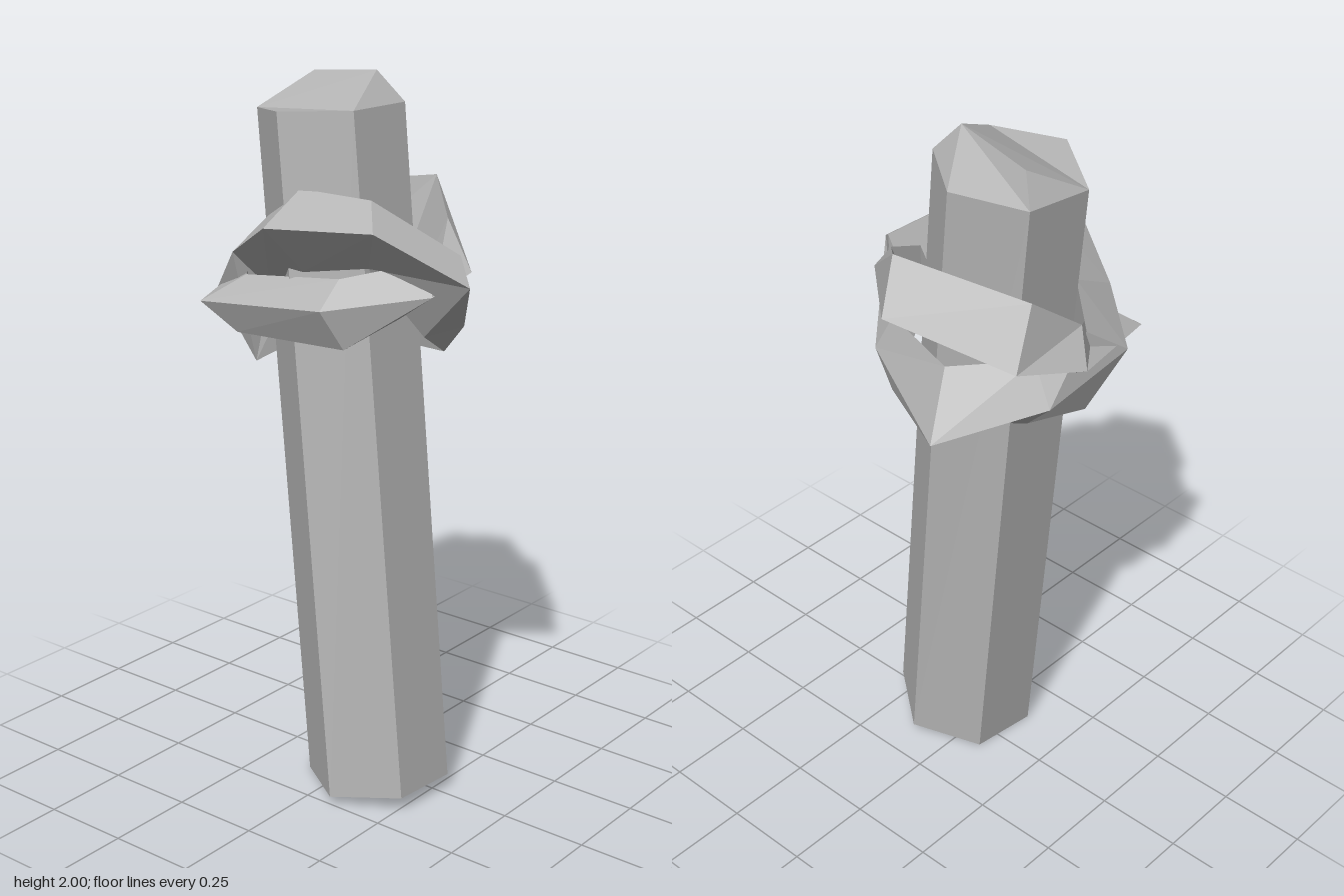
import * as THREE from 'three';

const grey = new THREE.MeshStandardMaterial({ color: 0xb4b4b4 });
grey.name = 'stone grey';

// Flat-shaded mesh from a list of polygons (corners counter-clockwise from outside)
function facetMesh(name, polygons) {
  const pos = [];
  for (const p of polygons) {
    for (let i = 1; i < p.length - 1; i++) pos.push(...p[0], ...p[i], ...p[i + 1]);
  }
  const geo = new THREE.BufferGeometry();
  geo.setAttribute('position', new THREE.Float32BufferAttribute(pos, 3));
  geo.computeVertexNormals();
  const mesh = new THREE.Mesh(geo, grey);
  mesh.name = name;
  return mesh;
}

// Leaning six-sided post with a chiselled top
function makePost() {
  const hex = [[-0.195, 0.07], [-0.01, 0.205], [0.175, 0.12], [0.19, -0.075], [0.02, -0.205], [-0.17, -0.12]];
  const bottom = hex.map(([x, z]) => [0.095 + x, 0.026 + 0.125 * x + 0.02 * z, 0.05 + z]);
  const rimY = [1.885, 1.91, 1.92, 1.92, 1.91, 1.89];
  const rim = hex.map(([x, z], i) => [-0.11 + x, rimY[i], z]);
  const ridgeL = [-0.235, 1.972, -0.085], ridgeR = [0.01, 2.0, -0.045];
  const faces = hex.map((_, i) => {
    const j = (i + 1) % 6;
    return [bottom[i], bottom[j], rim[j], rim[i]];
  });
  faces.push([...bottom].reverse());
  faces.push([rim[0], rim[1], rim[2], ridgeR, ridgeL]);
  faces.push([rim[2], rim[3], ridgeR]);
  faces.push([ridgeR, rim[3], rim[4], rim[5], ridgeL]);
  faces.push([rim[5], rim[0], ridgeL]);
  return facetMesh('post', faces);
}

// Closed band from three-cornered sections: outer, top and bottom corner
function makeBand(name, sections) {
  const faces = [];
  sections.forEach((a, s) => {
    const b = sections[(s + 1) % sections.length];
    for (let k = 0; k < 3; k++) {
      const m = (k + 1) % 3;
      faces.push([a[k], b[k], b[m], a[m]]);
    }
  });
  return facetMesh(name, faces);
}

export function createModel() {
  const model = new THREE.Group();
  model.name = 'wrappedPost';
  model.add(makePost());

  // Band riding high at the front and low at the back
  model.add(makeBand('frontHighBand', [
    [[-0.05, 1.64, 0.345], [-0.06, 1.715, 0.185], [-0.04, 1.5, 0.2]],
    [[0.21, 1.64, 0.225], [0.13, 1.7, 0.13], [0.12, 1.52, 0.13]],
    [[0.4, 1.5, 0.07], [0.32, 1.56, 0.0], [0.22, 1.33, 0.02]],
    [[0.22, 1.32, -0.16], [0.18, 1.42, -0.13], [0.14, 1.23, -0.18]],
    [[-0.155, 1.27, -0.345], [-0.1, 1.43, -0.23], [-0.08, 1.23, -0.19]],
    [[-0.34, 1.34, -0.1], [-0.27, 1.45, -0.08], [-0.24, 1.24, -0.07]],
    [[-0.36, 1.4, 0.185], [-0.33, 1.5, 0.05], [-0.27, 1.2, 0.13]],
    [[-0.25, 1.53, 0.24], [-0.25, 1.6, 0.1], [-0.2, 1.42, 0.15]],
  ]));

  // Band riding low at the front and high at the back
  model.add(makeBand('backHighBand', [
    [[-0.31, 1.4, 0.305], [-0.22, 1.47, 0.22], [-0.22, 1.32, 0.26]],
    [[0.08, 1.43, 0.28], [0.08, 1.5, 0.2], [0.11, 1.32, 0.22]],
    [[0.29, 1.46, 0.08], [0.24, 1.54, 0.04], [0.17, 1.38, 0.06]],
    [[0.305, 1.5, -0.07], [0.19, 1.62, -0.12], [0.12, 1.42, -0.08]],
    [[0.015, 1.57, -0.335], [0.06, 1.7, -0.245], [0.0, 1.45, -0.18]],
    [[-0.335, 1.5, -0.225], [-0.3, 1.65, -0.13], [-0.22, 1.42, -0.12]],
    [[-0.4, 1.45, -0.03], [-0.33, 1.53, 0.03], [-0.26, 1.35, 0.04]],
  ]));
  return model;
}
